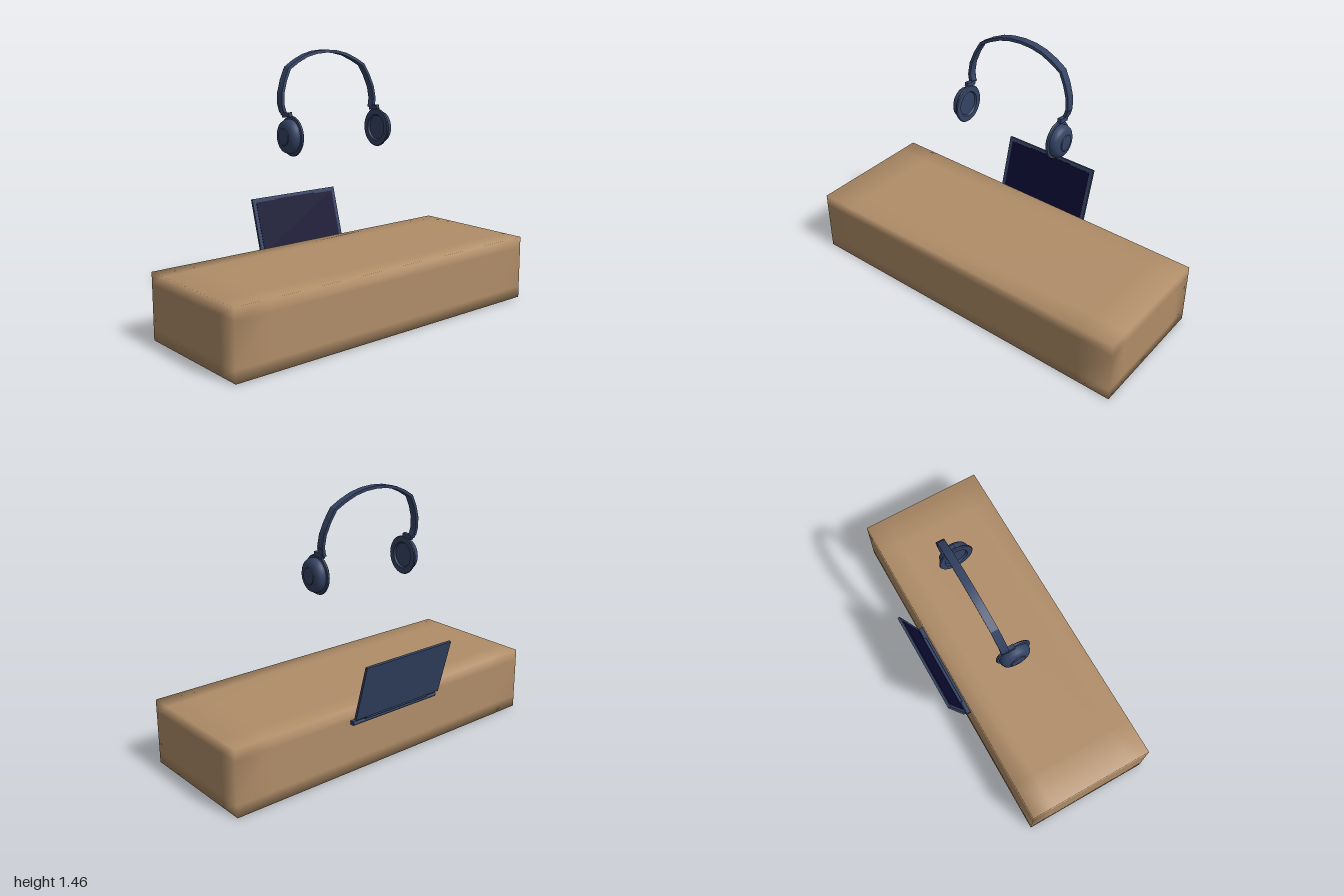
import * as THREE from 'three';
import { mergeVertices, toCreasedNormals } from 'three/addons/utils/BufferGeometryUtils.js';

const tan = new THREE.MeshStandardMaterial({ color: 0xb08d68 });
tan.name = 'tan';
const slate = new THREE.MeshStandardMaterial({ color: 0x344364 });
slate.name = 'slate blue';
const dark = new THREE.MeshStandardMaterial({ color: 0x0c0b32 });
dark.name = 'dark navy';

function add(parent, name, geometry, material, x = 0, y = 0, z = 0) {
  const mesh = new THREE.Mesh(geometry, material);
  mesh.name = name;
  mesh.position.set(x, y, z);
  parent.add(mesh);
  return mesh;
}

// Softly shaded block: inset loops near the edges, shared normals
function softBlock(w, h, d, insetX, insetY, insetZ) {
  let g = new THREE.BoxGeometry(w, h, d, 3, 3, 3);
  g.deleteAttribute('uv');
  g.deleteAttribute('normal');
  g = mergeVertices(g);
  const p = g.attributes.position;
  const inset = (v, size, amount) =>
    Math.abs(v) > size * 0.4 ? v : Math.sign(v) * (size / 2 - amount);
  for (let i = 0; i < p.count; i++) {
    const x = p.getX(i), y = p.getY(i), z = p.getZ(i);
    const rim = Math.abs(x) > w * 0.4 || Math.abs(z) > d * 0.4;
    const drop = rim && Math.abs(y) > h * 0.4 ? 0.004 * Math.sign(y) : 0;
    p.setXYZ(i, inset(x, w, insetX), inset(y, h, insetY) - drop, inset(z, d, insetZ));
  }
  g.computeVertexNormals();
  return g;
}

// Band outline in the front plane, leaned backwards towards the top
function headbandGeometry() {
  const half = [[0.312, 1.15], [0.32, 1.19], [0.314, 1.25], [0.29, 1.315], [0.257, 1.375],
    [0.2, 1.408], [0.135, 1.436], [0.07, 1.451]];
  const path = [...half.map(([x, y]) => [-x, y]), [0, 1.456], ...half.slice().reverse()];
  const outer = [], inner = [];
  path.forEach(([x, y], i) => {
    const a = path[Math.max(i - 1, 0)], b = path[Math.min(i + 1, path.length - 1)];
    const n = new THREE.Vector2(a[1] - b[1], b[0] - a[0]).normalize().multiplyScalar(0.008);
    outer.push(new THREE.Vector2(x + n.x, y + n.y));
    inner.unshift(new THREE.Vector2(x - n.x, y - n.y));
  });
  const g = new THREE.ExtrudeGeometry(new THREE.Shape([...outer, ...inner]),
    { depth: 0.042, bevelEnabled: false });
  const p = g.attributes.position;
  for (let i = 0; i < p.count; i++) {
    p.setZ(i, p.getZ(i) - 0.129 - (p.getY(i) - 1.15) * 0.125);
  }
  return toCreasedNormals(g, 0.5);
}

// Ear cup turned around the sideways axis, recessed on the inner side
function earCupGeometry() {
  const profile = [[0, 0.01], [0.066, 0.01], [0.072, 0], [0.103, 0], [0.107, 0.005], [0.103, 0.012],
    [0.09, 0.014], [0.091, 0.03], [0.084, 0.046], [0.07, 0.056], [0.046, 0.06],
    [0.043, 0.064], [0.025, 0.067], [0, 0.068]].map(([r, y]) => new THREE.Vector2(r, y));
  const g = new THREE.LatheGeometry(profile, 32);
  g.rotateZ(-Math.PI / 2);
  g.scale(1, 1, 0.92);
  return toCreasedNormals(g, 0.6);
}

export function createModel() {
  const model = new THREE.Group();
  model.name = 'deskSet';

  // Main block
  add(model, 'block', softBlock(2, 0.372, 0.745, 0.2, 0.07, 0.12), tan, 0, 0.19, 0.063);

  // Laptop, its base sunk into the block
  const laptop = new THREE.Group();
  laptop.name = 'laptop';
  model.add(laptop);
  add(laptop, 'laptopBase', new THREE.BoxGeometry(0.59, 0.022, 0.38), slate, 0, 0.293, -0.142);
  const rear = new THREE.CylinderGeometry(0.011, 0.011, 0.59, 12).rotateZ(Math.PI / 2);
  add(laptop, 'baseRearEdge', rear, slate, 0, 0.293, -0.326);
  const hinge = new THREE.CylinderGeometry(0.012, 0.012, 0.44, 12).rotateZ(Math.PI / 2);
  add(laptop, 'hinge', hinge, slate, 0, 0.312, -0.334);

  // Tilted lid with its display
  const lid = new THREE.Group();
  lid.name = 'lid';
  lid.position.set(0, 0.32, -0.345);
  lid.rotation.x = -0.27;
  laptop.add(lid);
  add(lid, 'lidPanel', new THREE.BoxGeometry(0.59, 0.324, 0.014), slate, 0, 0.162, 0);
  add(lid, 'display', new THREE.BoxGeometry(0.546, 0.282, 0.003), dark, 0, 0.161, 0.0075);
  add(lid, 'cameraStrip', new THREE.BoxGeometry(0.28, 0.008, 0.004), dark, 0, 0.303, 0.0075);

  // Headphones floating above
  const headphones = new THREE.Group();
  headphones.name = 'headphones';
  model.add(headphones);
  add(headphones, 'headband', headbandGeometry(), slate);
  const cup = earCupGeometry();
  for (const s of [1, -1]) {
    const side = s > 0 ? 'left' : 'right';
    const earCup = add(headphones, side + 'EarCup', cup, slate, s * 0.292, 1.028, -0.05);
    if (s < 0) earCup.rotation.y = Math.PI;
    const yoke = add(headphones, side + 'Yoke', new THREE.BoxGeometry(0.022, 0.024, 0.062),
      slate, s * 0.306, 1.138, -0.08);
    yoke.rotation.x = -0.12;
    const joint = add(headphones, side + 'Joint', new THREE.BoxGeometry(0.016, 0.05, 0.036),
      slate, s * 0.312, 1.16, -0.108);
    joint.rotation.z = -s * 0.35;
  }
  return model;
}
